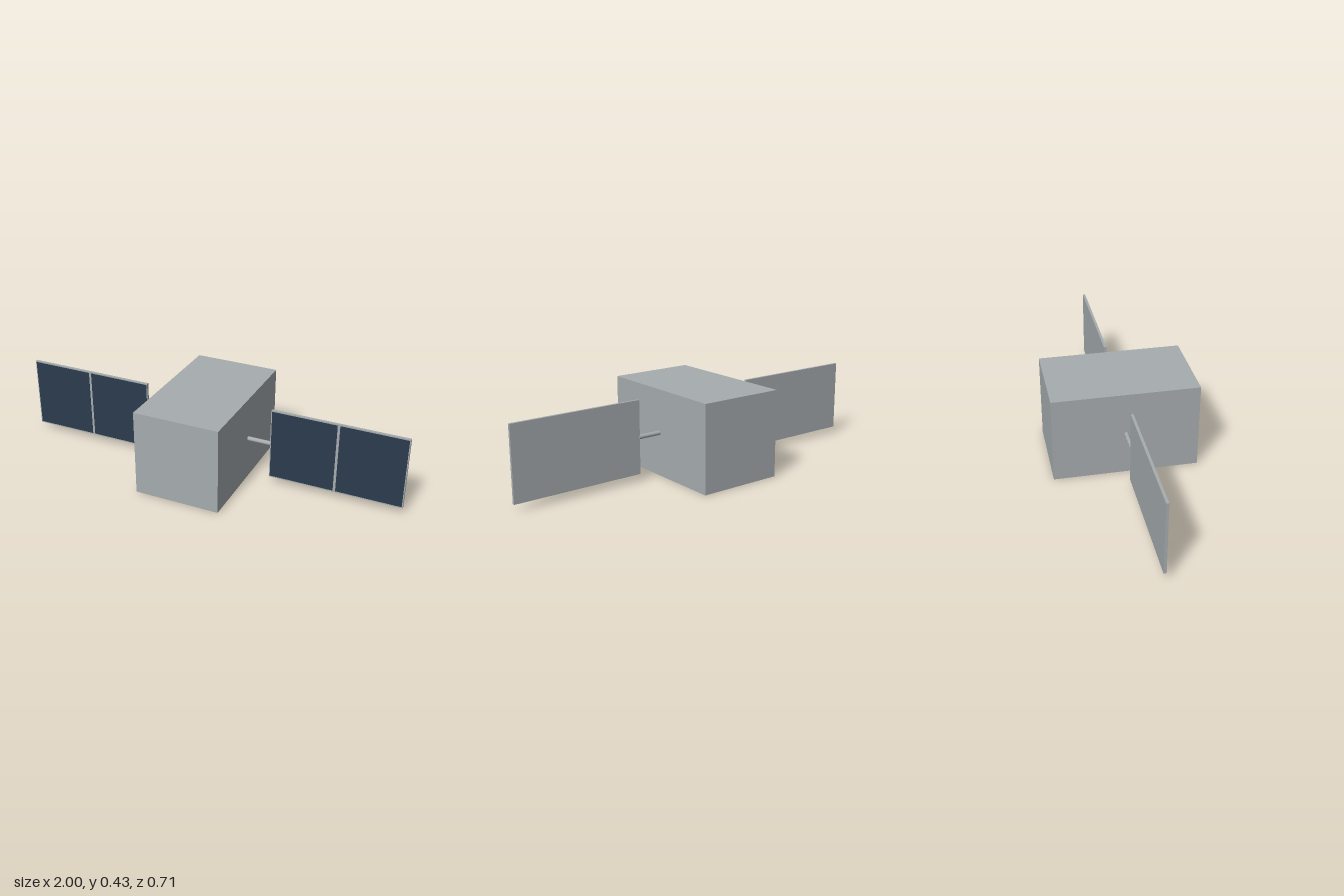
import * as THREE from 'three';

export function createModel() {
  const model = new THREE.Group();
  const hull = new THREE.MeshStandardMaterial({ name: 'hullGrey', color: 0xa6acaf });
  const cell = new THREE.MeshStandardMaterial({ name: 'cellNavy', color: 0x2c3b4e });
  const midY = 0.217;

  function add(parent, name, geometry, material, x, y, z) {
    const mesh = new THREE.Mesh(geometry, material);
    mesh.name = name;
    mesh.position.set(x, y, z);
    parent.add(mesh);
    return mesh;
  }

  // Main body
  add(model, 'body', new THREE.BoxGeometry(0.432, 0.433, 0.714), hull, 0, 0.2165, 0);

  // One wing on each side: boom, backing panel and two cells on the front
  for (const side of [1, -1]) {
    const wing = new THREE.Group();
    wing.name = side > 0 ? 'leftWing' : 'rightWing';
    model.add(wing);

    const boomShape = new THREE.CylinderGeometry(0.011, 0.011, 0.125, 12);
    boomShape.rotateZ(Math.PI / 2);
    add(wing, 'boom', boomShape, hull, side * 0.273, midY, 0);

    add(wing, 'panel', new THREE.BoxGeometry(0.667, 0.366, 0.013), hull, side * 0.6665, midY, 0);
    for (const x of [0.499, 0.834]) {
      add(wing, 'solarCell', new THREE.BoxGeometry(0.322, 0.354, 0.002), cell, side * x, midY, 0.0065);
    }
  }
  return model;
}
